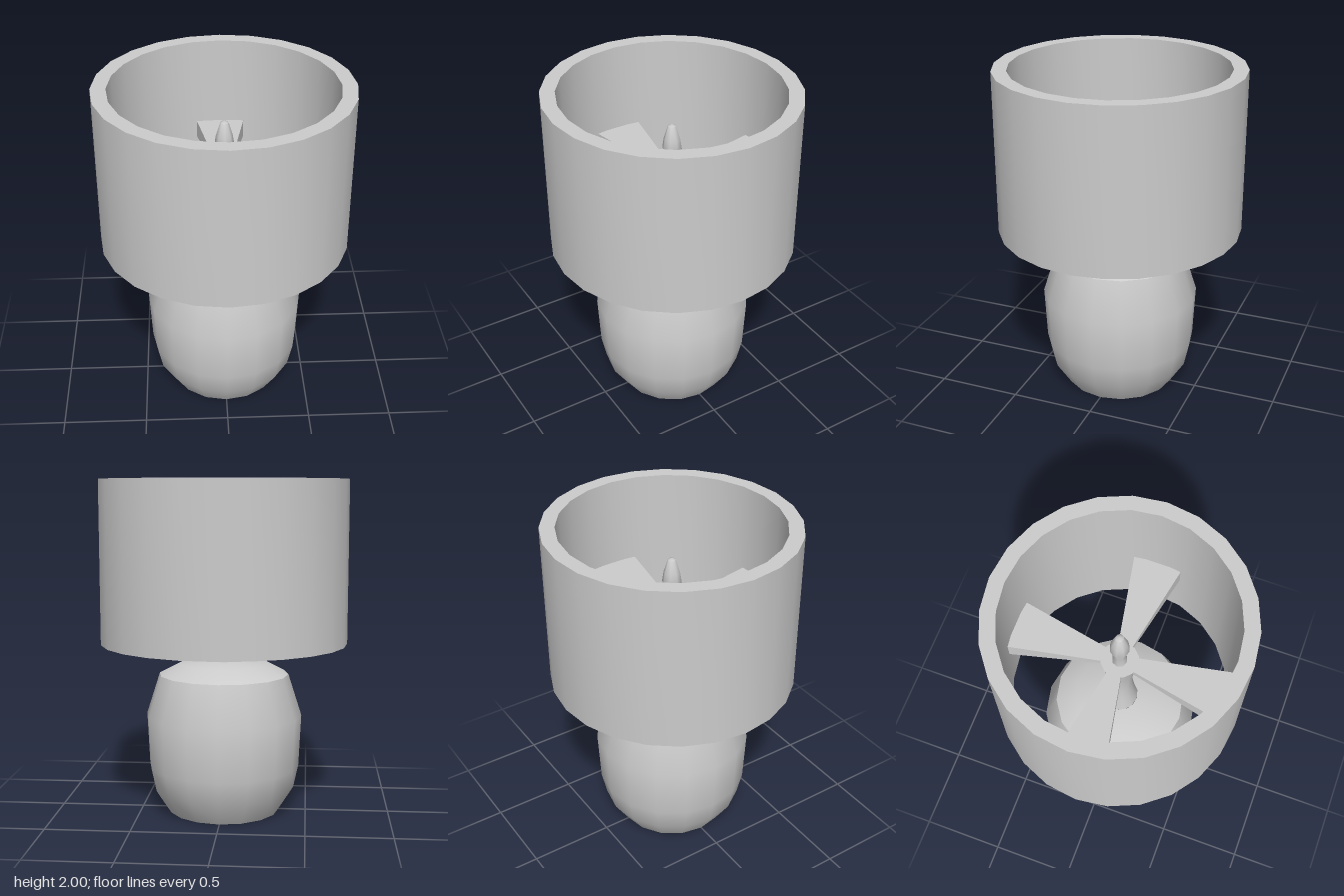
import * as THREE from 'three';
import { toCreasedNormals } from 'three/addons/utils/BufferGeometryUtils.js';

const material = new THREE.MeshStandardMaterial({ color: 0xcccccc });
const openMaterial = new THREE.MeshStandardMaterial({ color: 0xcccccc, side: THREE.DoubleSide });

// Turned part from [radius, height] pairs, listed bottom to top on the outside
function turned(name, profile, sides, crease = 0.7, mat = material) {
  const points = profile.map(([r, y]) => new THREE.Vector2(r, y));
  const mesh = new THREE.Mesh(toCreasedNormals(new THREE.LatheGeometry(points, sides), crease), mat);
  mesh.name = name;
  return mesh;
}

// Wedge arm along +x: flat top, growing wider and deeper toward the shade
function armGeometry(top) {
  const geometry = new THREE.BoxGeometry(1, 1, 1);
  const p = geometry.attributes.position;
  for (let i = 0; i < p.count; i++) {
    const outer = p.getX(i) > 0;
    const halfWidth = outer ? 0.147 : 0.042;
    const depth = outer ? 0.11 : 0.035;
    p.setXYZ(i, outer ? 0.64 : 0.09, p.getY(i) > 0 ? top : top - depth, Math.sign(p.getZ(i)) * halfWidth);
  }
  geometry.computeVertexNormals();
  return geometry;
}

export function createModel() {
  const lamp = new THREE.Group();
  lamp.name = 'tableLamp';

  // Rounded vase-like base, open underneath
  lamp.add(turned('base', [
    [0.335, 0], [0.425, 0.14], [0.455, 0.28], [0.47, 0.59],
    [0.39, 0.84], [0.265, 0.905], [0.11, 0.925],
  ], 16, 0.7, openMaterial));

  // Waisted stem, closed by a flat hub on top
  lamp.add(turned('stem', [
    [0.11, 0.92], [0.09, 1.03], [0.076, 1.15], [0.08, 1.28],
    [0.095, 1.38], [0.11, 1.47], [0, 1.47],
  ], 12));

  // Finial above the hub
  lamp.add(turned('finial', [
    [0.045, 1.465], [0.036, 1.55], [0.057, 1.64], [0.048, 1.70],
    [0.024, 1.78], [0, 1.79],
  ], 8, 0.9));

  // Shade and its four arms, slightly narrower front to back
  const shadeGroup = new THREE.Group();
  shadeGroup.name = 'shadeAssembly';
  shadeGroup.scale.z = 0.98;
  shadeGroup.add(turned('shade', [
    [0.738, 1.03], [0.738, 2], [0.65, 2], [0.65, 1.03], [0.738, 1.03],
  ], 24));
  const arm = armGeometry(1.47);
  for (let i = 0; i < 4; i++) {
    const mesh = new THREE.Mesh(arm, material);
    mesh.name = 'shadeArm' + (i + 1);
    mesh.rotation.y = i * Math.PI / 2;
    shadeGroup.add(mesh);
  }
  lamp.add(shadeGroup);

  return lamp;
}
